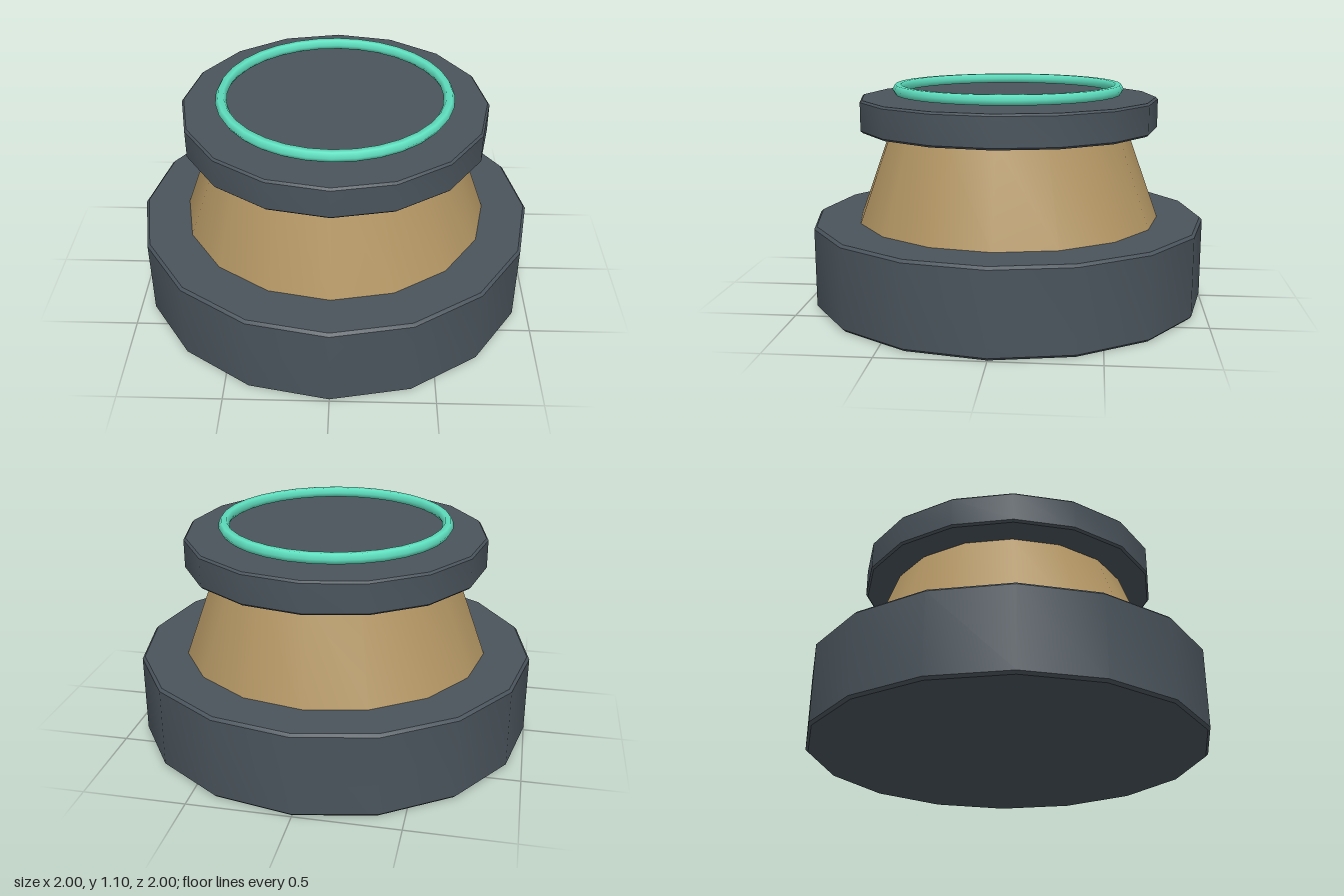
import * as THREE from 'three';
import { toCreasedNormals } from 'three/addons/utils/BufferGeometryUtils.js';

const SIDES = 16;
const slate = new THREE.MeshStandardMaterial({ color: 0x4a545c });
const brass = new THREE.MeshStandardMaterial({ color: 0xb29563 });
const mint = new THREE.MeshStandardMaterial({ color: 0x5fe0c0 });

// Closed sixteen-sided drum with bevelled rims, smooth around the wall
function drum(name, material, rBottom, rTop, y0, y1, bevel) {
  const slope = (rTop - rBottom) / (y1 - y0) * bevel;
  const profile = [
    [0, y0], [rBottom - bevel, y0], [rBottom + slope, y0 + bevel],
    [rTop - slope, y1 - bevel], [rTop - bevel, y1], [0, y1],
  ].map(([x, y]) => new THREE.Vector2(x, y));
  const geometry = toCreasedNormals(new THREE.LatheGeometry(profile, SIDES), Math.PI / 6);
  const mesh = new THREE.Mesh(geometry, material);
  mesh.name = name;
  return mesh;
}

export function createModel() {
  const model = new THREE.Group();
  model.name = 'pedestal';

  // Broad foot, tapered column and overhanging top plate
  model.add(drum('base', slate, 1, 1, 0, 0.42, 0.013));
  model.add(drum('taperedColumn', brass, 0.775, 0.603, 0.405, 0.88, 0.01));
  model.add(drum('topPlate', slate, 0.757, 0.757, 0.875, 1.035, 0.01));

  // Thin ring hovering just above the plate
  const ring = new THREE.Mesh(new THREE.TorusGeometry(0.557, 0.028, 6, 32), mint);
  ring.name = 'glowRing';
  ring.rotation.x = -Math.PI / 2;
  ring.position.y = 1.075;
  model.add(ring);

  return model;
}
